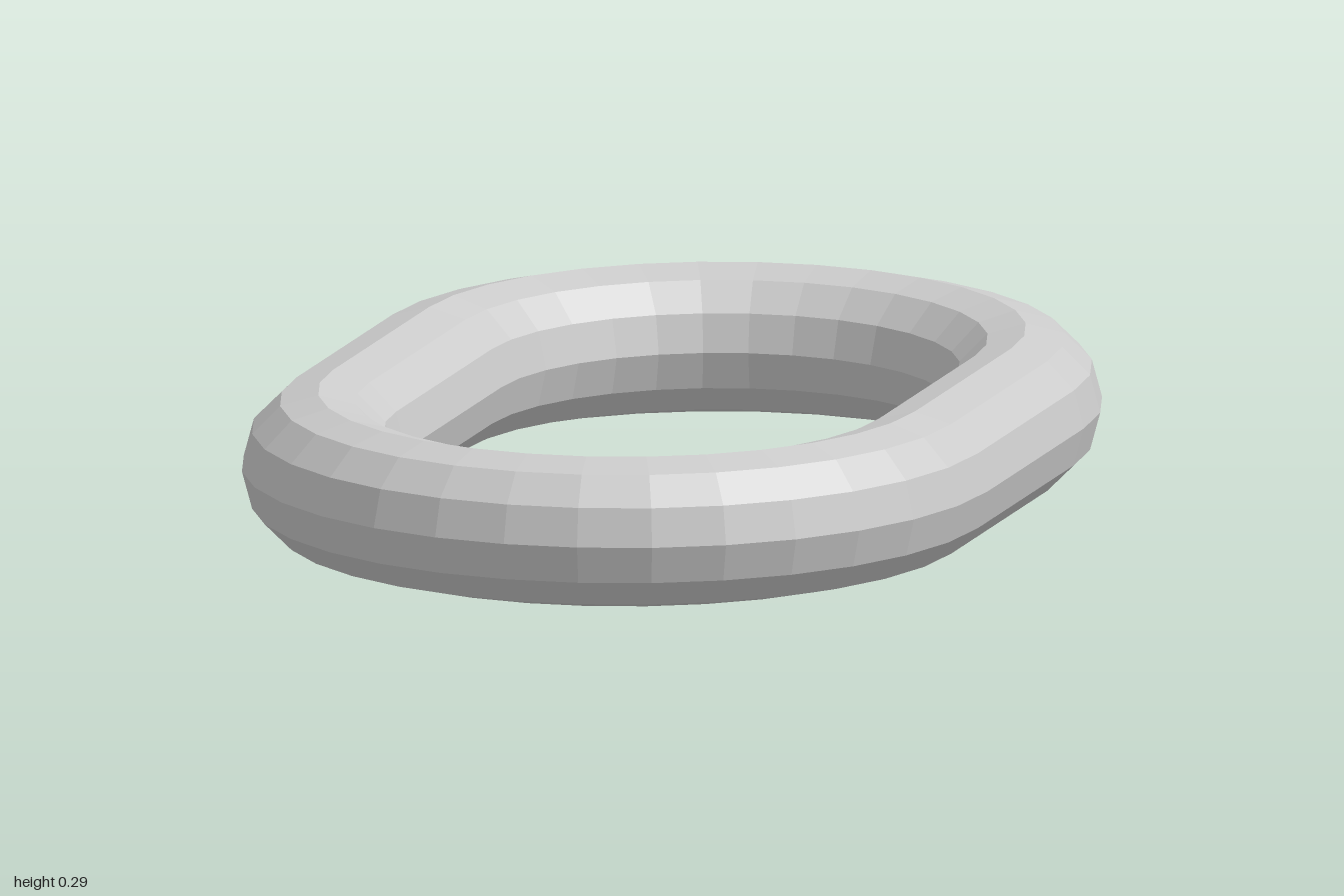
import * as THREE from 'three';

const TUBE = 1 / 7;      // radius of the bar
const BEND = 4 / 7;      // centreline radius of the rounded ends
const HALF = 2 / 7;      // half length of the straight sides
const SIDES = 12;        // facets around the bar

export function createModel() {
  const link = new THREE.Group();
  link.name = 'chainLink';
  const material = new THREE.MeshStandardMaterial({ color: 0xcccccc, flatShading: true });

  const add = (name, geometry, x, z) => {
    const mesh = new THREE.Mesh(geometry, material);
    mesh.name = name;
    mesh.position.set(x, TUBE, z);
    link.add(mesh);
  };

  for (const s of [1, -1]) {
    // Half-ring end, bulging to the front or back
    const end = new THREE.TorusGeometry(BEND, TUBE, SIDES, 16, Math.PI);
    end.rotateX(s * Math.PI / 2);
    add(s > 0 ? 'frontBend' : 'backBend', end, 0, s * HALF);

    // Straight bar joining the two ends
    const bar = new THREE.CylinderGeometry(TUBE, TUBE, 2 * HALF, SIDES, 1, true);
    bar.rotateX(Math.PI / 2);
    add(s > 0 ? 'leftBar' : 'rightBar', bar, s * BEND, 0);
  }
  return link;
}
